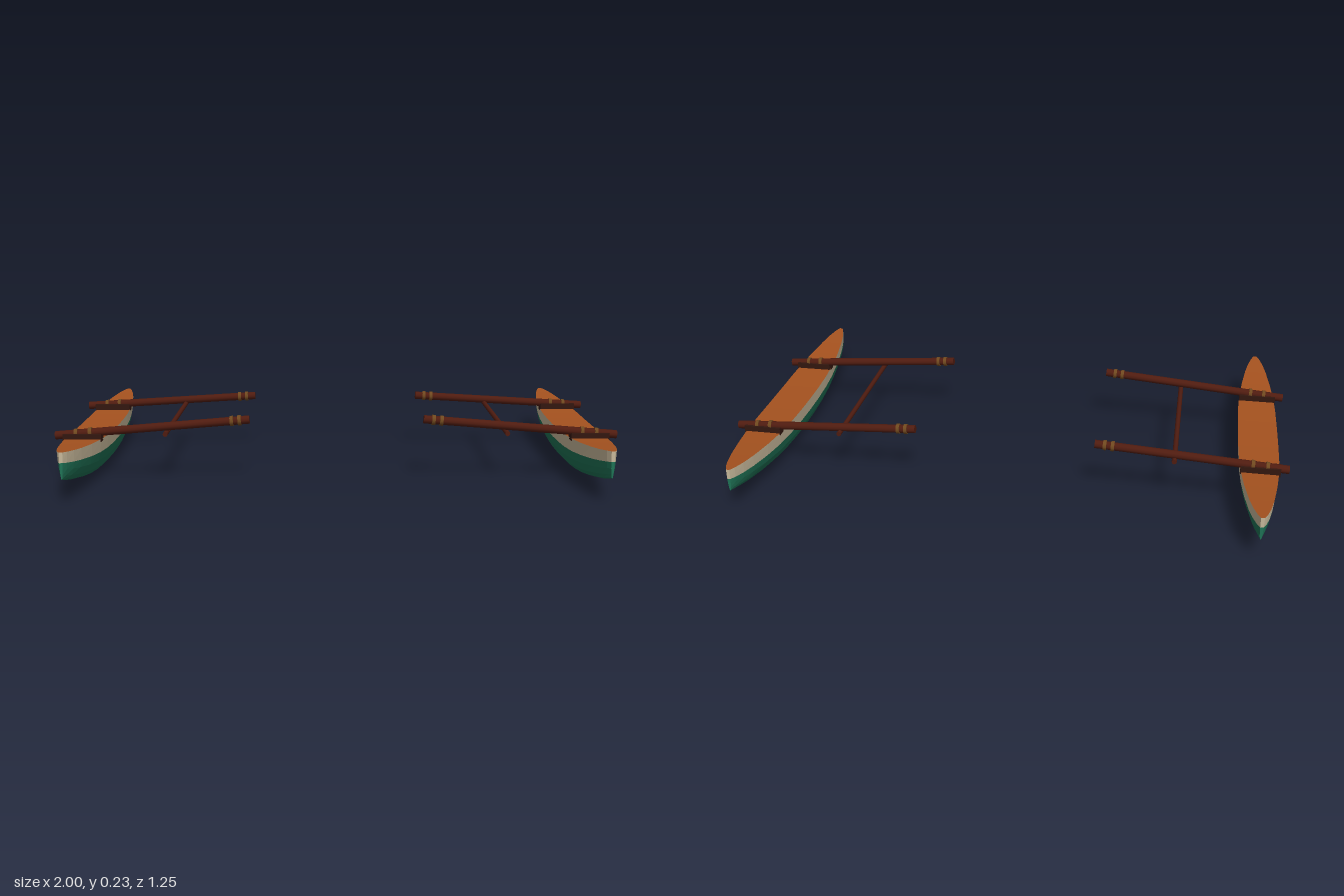
import * as THREE from 'three';

const mat = (name, color, extra = {}) => new THREE.MeshStandardMaterial({ name, color, ...extra });

// Faceted skin across rows of points; every triangle keeps its own flat normal
function skin(...patches) {
  const pos = [];
  for (const rows of patches)
    for (let i = 0; i + 1 < rows.length; i++)
      for (let j = 0; j + 1 < rows[i].length; j++) {
        const a = rows[i][j], b = rows[i + 1][j], c = rows[i + 1][j + 1], d = rows[i][j + 1];
        pos.push(...a, ...b, ...c, ...a, ...c, ...d);
      }
  const g = new THREE.BufferGeometry();
  g.setAttribute('position', new THREE.Float32BufferAttribute(pos, 3));
  g.computeVertexNormals();
  return g;
}

export function createModel() {
  const green = mat('hull green', 0x1f7356);
  const cream = mat('cream topside', 0xc8b99b);
  const orange = mat('deck orange', 0xa5521f);
  const wood = mat('dark red wood', 0x501c10);
  const dark = mat('dark saddle', 0x33170f);
  const rope = mat('rope', 0x70491f);

  const model = new THREE.Group();
  model.name = 'outriggerFloats';
  const add = (parent, name, geometry, material) => {
    const m = new THREE.Mesh(geometry, material);
    m.name = name;
    parent.add(m);
    return m;
  };

  // Round bar between two points
  const bar = (parent, name, a, b, r, material, sides = 10) => {
    const m = add(parent, name, new THREE.CylinderGeometry(r, r, a.distanceTo(b), sides), material);
    m.position.copy(a).lerp(b, 0.5);
    m.quaternion.setFromUnitVectors(new THREE.Vector3(0, 1, 0), b.clone().sub(a).normalize());
    return m;
  };

  // Hull stations: distance from the middle, deck half width
  const half = [[0, 0.072], [0.1, 0.0715], [0.2, 0.07], [0.3, 0.065], [0.4, 0.055],
    [0.5, 0.041], [0.56, 0.029], [0.605, 0.016], [0.627, 0.006]];
  const stations = [...half.slice(1).reverse().map(([z, w]) => [-z, w]), ...half];

  // Half section: width fraction, height fraction between keel and paint line
  const lower = [[0.93, 1], [0.82, 0.62], [0.62, 0.28], [0.36, 0.07], [0, 0]];
  const heights = (z) => {
    const t2 = (z / 0.627) ** 2;
    const rise = z > 0 ? 0.038 : 0.029;
    return { keel: 0.086 * t2, seam: 0.09 + (rise + 0.014) * t2, top: 0.14 + rise * t2 };
  };
  const lowerSide = ([z, w], s) => {
    const h = heights(z);
    return lower.map(([fx, fy]) => [s * w * fx, h.keel + (h.seam - h.keel) * fy, z]);
  };
  const upperSide = ([z, w], s) => {
    const h = heights(z);
    return [[s * w, h.top, z], [s * w * 0.93, h.seam, z]];
  };
  const first = stations[0], last = stations[stations.length - 1];
  const endCaps = (side) => [[side(last, 1), side(last, -1)], [side(first, -1), side(first, 1)]];

  const hullGeo = skin(
    stations.map((s) => [...lowerSide(s, 1), ...lowerSide(s, -1).reverse().slice(1)]),
    ...endCaps(lowerSide));
  const topsideGeo = skin(
    stations.map((s) => upperSide(s, 1)),
    stations.map((s) => upperSide(s, -1).reverse()),
    ...endCaps(upperSide));
  const deckGeo = skin(stations.map((s) => [upperSide(s, -1)[0], upperSide(s, 1)[0]]));

  for (const s of [1, -1]) {
    const side = new THREE.Group();
    side.name = s > 0 ? 'leftOutrigger' : 'rightOutrigger';
    model.add(side);

    // Float
    const float = new THREE.Group();
    float.name = 'float';
    float.position.x = s * 0.9;
    side.add(float);
    add(float, 'lowerHull', hullGeo, green);
    add(float, 'topside', topsideGeo, cream);
    add(float, 'deck', deckGeo, orange);

    // Cross beams rising inward, with rope bands and a saddle on the deck
    for (const [name, z, xIn, yIn] of [['front', 0.283, 0.31, 0.216], ['rear', -0.285, 0.325, 0.2]]) {
      const outer = new THREE.Vector3(s * 0.999, 0.16, z);
      const inner = new THREE.Vector3(s * xIn, yIn, z);
      const at = (x) => outer.clone().lerp(inner, (0.999 - x) / (0.999 - xIn));
      bar(side, name + 'Beam', outer, inner, 0.015, wood);
      for (const x of [xIn + 0.035, xIn + 0.063, 0.875, 0.925])
        bar(side, name + 'RopeBand', at(x - 0.006), at(x + 0.006), 0.0185, rope);
      const saddle = add(side, name + 'Saddle', new THREE.BoxGeometry(0.136, 0.028, 0.044), dark);
      saddle.position.set(s * 0.902, 0.154, z);
    }

    // Rail tying the two beams together
    bar(side, 'rail', new THREE.Vector3(s * 0.606, 0.169, 0.314),
      new THREE.Vector3(s * 0.606, 0.169, -0.314), 0.009, wood, 8);
  }
  return model;
}
